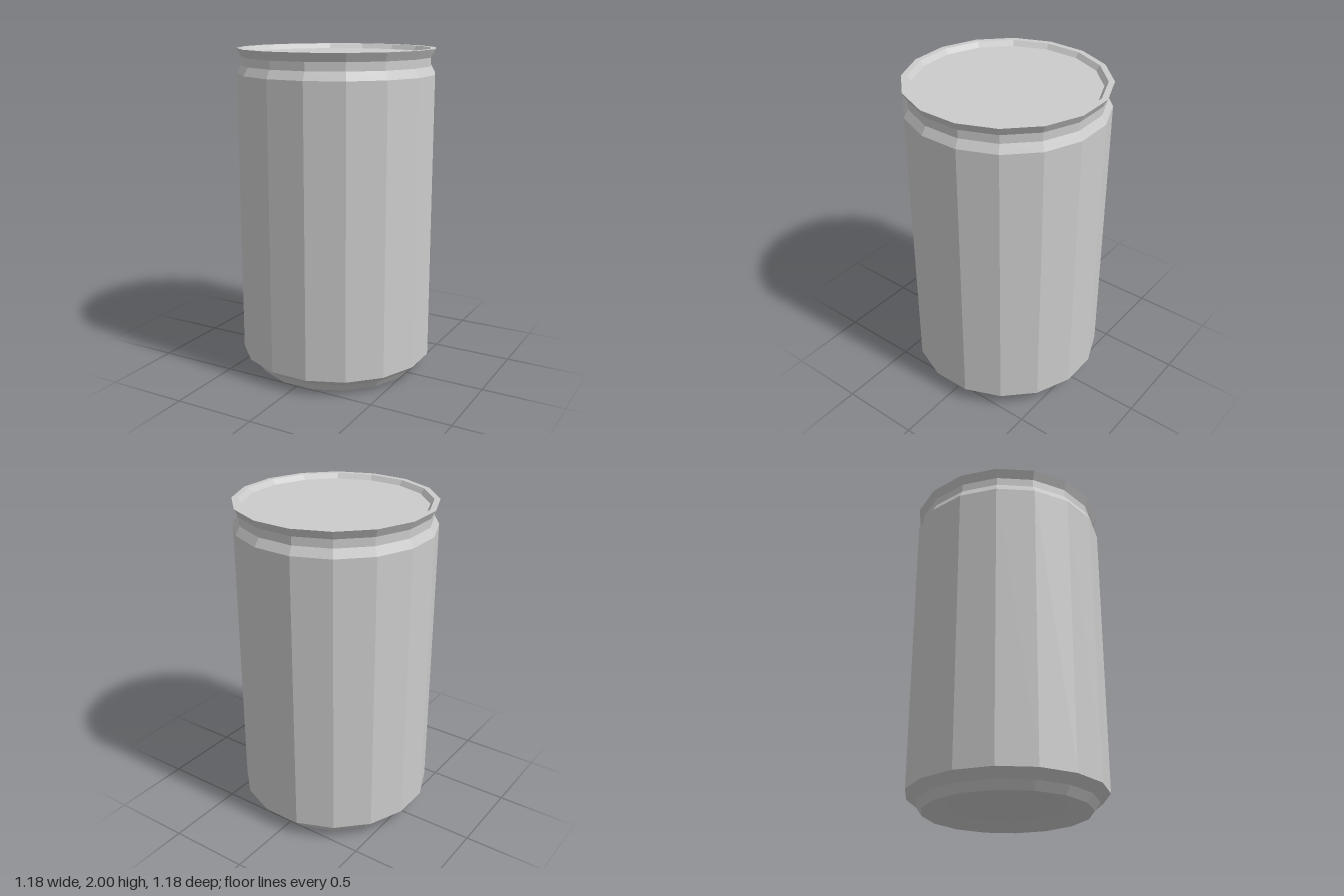
import * as THREE from 'three';

const SIDES = 16;

export function createModel() {
  const can = new THREE.Group();
  can.name = 'drinkCan';

  const aluminium = new THREE.MeshStandardMaterial({ color: 0xcccccc, flatShading: true });
  aluminium.name = 'aluminium';

  // Turns a [radius, height] profile into a faceted ring with flats facing the axes
  function addRing(name, profile) {
    const points = profile.map(([r, y]) => new THREE.Vector2(r, y));
    const geometry = new THREE.LatheGeometry(points, SIDES, Math.PI / SIDES);
    const mesh = new THREE.Mesh(geometry, aluminium);
    mesh.name = name;
    can.add(mesh);
  }

  // Flat disc, facing up or down
  function addDisc(name, radius, y, up) {
    const geometry = new THREE.CircleGeometry(radius, SIDES, Math.PI / SIDES);
    geometry.rotateX(up ? -Math.PI / 2 : Math.PI / 2);
    const mesh = new THREE.Mesh(geometry, aluminium);
    mesh.name = name;
    mesh.position.y = y;
    can.add(mesh);
  }

  // Recessed underside
  addDisc('baseCentre', 0.355, 0.04, false);
  addRing('baseBevel', [[0.355, 0.04], [0.505, 0]]);

  // Tapered foot, straight wall and narrowed neck
  addRing('foot', [[0.505, 0], [0.54, 0.05], [0.602, 0.1]]);
  addRing('wall', [[0.602, 0.1], [0.602, 1.85]]);
  addRing('neck', [[0.602, 1.85], [0.575, 1.9], [0.575, 1.95]]);

  // Flared rim around the sunken lid
  addRing('rim', [[0.575, 1.95], [0.602, 2], [0.567, 2], [0.545, 1.97]]);
  addDisc('lid', 0.545, 1.97, true);

  return can;
}
